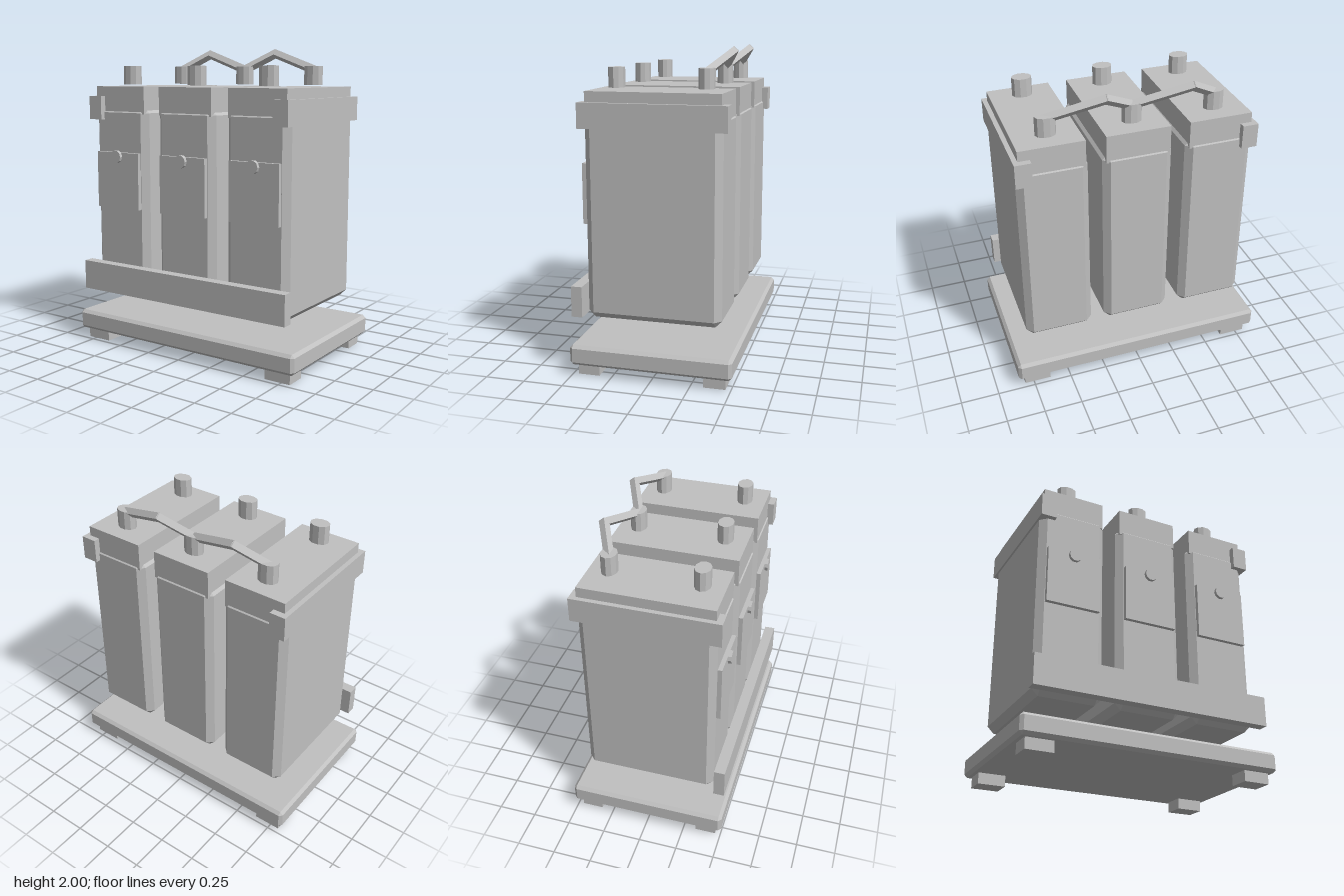
import * as THREE from 'three';
import { ConvexGeometry } from 'three/addons/geometries/ConvexGeometry.js';

const grey = new THREE.MeshStandardMaterial({ color: 0xc0c0c0, flatShading: true });
grey.name = 'plain grey';

function add(parent, name, geometry, x, y, z) {
  const mesh = new THREE.Mesh(geometry, grey);
  mesh.name = name;
  mesh.position.set(x, y, z);
  parent.add(mesh);
  return mesh;
}

// Box given by its lower and upper limits on each axis
function box(parent, name, [x0, x1], [y0, y1], [z0, z1]) {
  return add(parent, name, new THREE.BoxGeometry(x1 - x0, y1 - y0, z1 - z0),
    (x0 + x1) / 2, (y0 + y1) / 2, (z0 + z1) / 2);
}

// Box with every edge cut at 45 degrees
function chamferBox(w, h, d, c) {
  const points = [];
  for (const sx of [-1, 1]) for (const sy of [-1, 1]) for (const sz of [-1, 1]) {
    for (let axis = 0; axis < 3; axis++) {
      const cut = [c, c, c];
      cut[axis] = 0;
      points.push(new THREE.Vector3(
        sx * (w / 2 - cut[0]), sy * (h / 2 - cut[1]), sz * (d / 2 - cut[2])));
    }
  }
  return new ConvexGeometry(points);
}

export function createModel() {
  const model = new THREE.Group();
  model.name = 'batteryRack';

  // Base slab and feet
  add(model, 'baseSlab', chamferBox(1.71, 0.13, 1.02, 0.02), 0, 0.135, 0);
  for (const sx of [-1, 1]) for (const sz of [-1, 1]) {
    add(model, 'foot', new THREE.BoxGeometry(0.176, 0.07, 0.135), sx * 0.722, 0.035, sz * 0.398);
  }

  // Three cells, each with lid, terminals, front plate and knob
  const spacing = 0.535;
  for (const i of [-1, 0, 1]) {
    const cell = new THREE.Group();
    cell.name = 'cell';
    cell.position.x = i * spacing;
    model.add(cell);
    add(cell, 'cellCase', chamferBox(0.445, 1.27, 0.845, 0.042), 0, 0.985, 0);
    box(cell, 'lid', [-0.205, 0.205], [1.57, 1.75], [-0.415, 0.415]);
    for (const z of [-0.28, 0.28]) {
      const post = new THREE.CylinderGeometry(0.065, 0.065, 0.122, 10);
      post.rotateY(Math.PI / 2).scale(1, 1, 0.77);
      add(cell, 'terminal', post, 0, 1.822, z);
    }
    box(cell, 'frontPlate', [-0.177, 0.177], [0.94, 1.315], [0.415, 0.45]);
    const knob = new THREE.CylinderGeometry(0.042, 0.042, 0.025, 10);
    knob.rotateY(Math.PI / 2).rotateX(Math.PI / 2);
    add(cell, 'knob', knob, 0, 1.287, 0.459);
  }

  // Front rail and side clamps
  box(model, 'frontRail', [-0.795, 0.795], [0.365, 0.56], [0.44, 0.51]);
  for (const s of [-1, 1]) {
    add(model, 'sideClamp', new THREE.BoxGeometry(0.103, 0.155, 0.912), s * 0.7185, 1.6075, 0);
  }

  // Zigzag link bar, lying in a plane that leans back
  const path = [[-spacing, 1.86, -0.28], [-0.355, 1.968, -0.37], [0, 1.86, -0.28],
    [0.19, 1.968, -0.37], [spacing, 1.86, -0.28]].map(p => new THREE.Vector3(...p));
  const normal = new THREE.Vector3(0, 0.64, 0.77).normalize();
  for (let i = 0; i < path.length - 1; i++) {
    const along = path[i + 1].clone().sub(path[i]);
    const length = along.length() + 0.03;
    const middle = path[i].clone().add(path[i + 1]).multiplyScalar(0.5);
    along.normalize();
    const across = new THREE.Vector3().crossVectors(normal, along).normalize();
    const up = new THREE.Vector3().crossVectors(along, across);
    const bar = add(model, 'linkBar', new THREE.BoxGeometry(length, 0.043, 0.043),
      middle.x, middle.y, middle.z);
    bar.quaternion.setFromRotationMatrix(
      new THREE.Matrix4().makeBasis(along, across, up));
  }
  return model;
}
